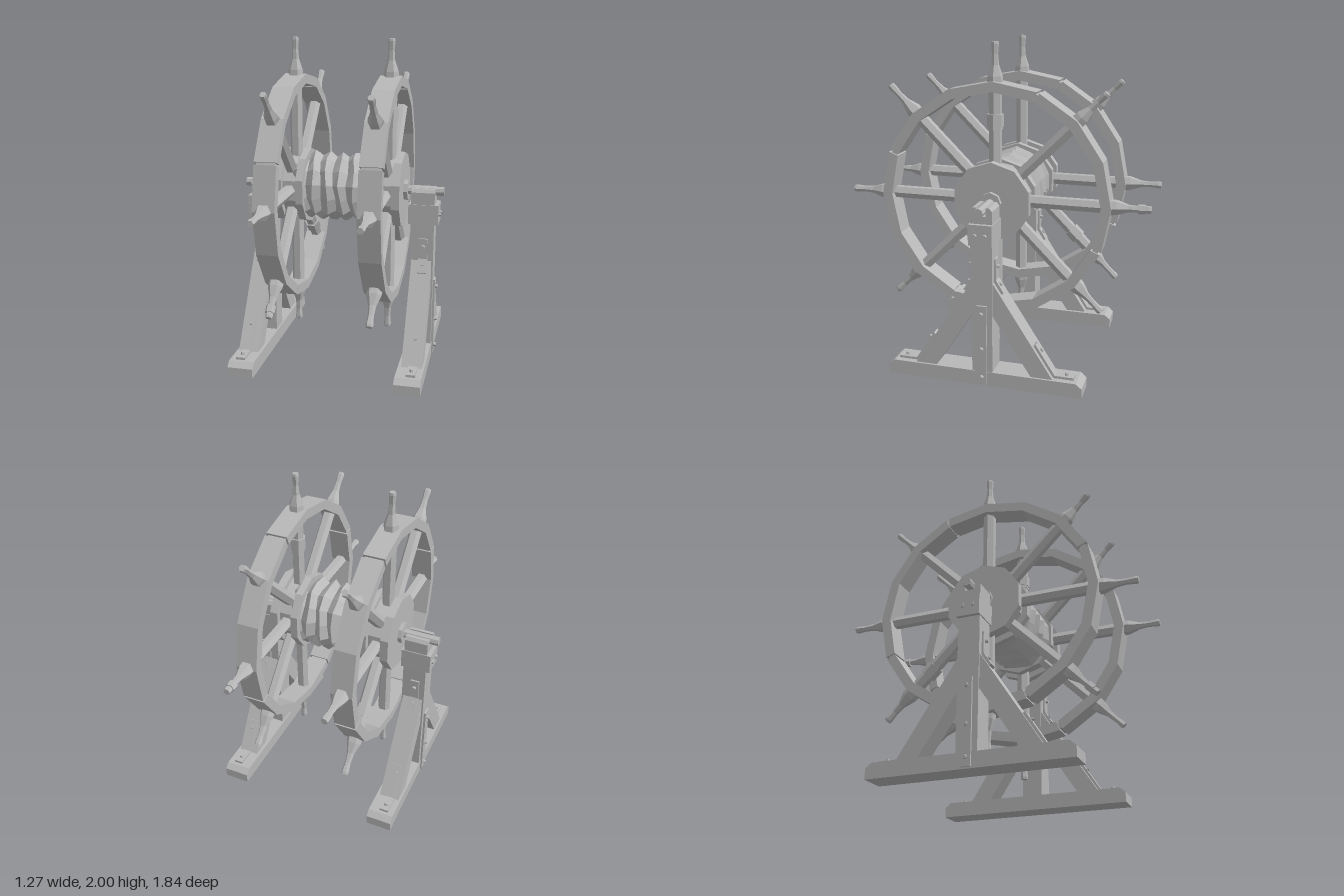
import * as THREE from 'three';

const AXLE_Y = 1.08;
const wood = new THREE.MeshStandardMaterial({ color: 0xb8b8b8, flatShading: true });
wood.name = 'plain grey';

function add(parent, name, geometry, x = 0, y = 0, z = 0) {
  const mesh = new THREE.Mesh(geometry, wood);
  mesh.name = name;
  mesh.position.set(x, y, z);
  parent.add(mesh);
  return mesh;
}

// Side outline given as [z, y] points, extruded from x0 to x1
function prism(points, x0, x1) {
  const shape = new THREE.Shape(points.map(([z, y]) => new THREE.Vector2(z, y)));
  const geometry = new THREE.ExtrudeGeometry(shape, { depth: x1 - x0, bevelEnabled: false });
  return geometry.rotateY(-Math.PI / 2).translate(x1, 0, 0);
}

// Cylinder lying along x, with a corner at the top
function disc(radius, x0, x1, sides) {
  return new THREE.CylinderGeometry(radius, radius, x1 - x0, sides)
    .rotateZ(Math.PI / 2).rotateX(-Math.PI / 2).rotateX(sides % 4 ? Math.PI / 2 : 0)
    .rotateX(sides === 10 ? Math.PI / 2 : 0)
    .translate((x0 + x1) / 2, 0, 0);
}

function bolt(parent, x, y, z, dir) {
  const mesh = add(parent, 'bolt', new THREE.CylinderGeometry(0.011, 0.014, 0.026, 6), x, y, z);
  mesh.quaternion.setFromUnitVectors(new THREE.Vector3(0, 1, 0), dir.clone().normalize());
}

// Flat iron strap between two [z, y] points
function strap(parent, x, [z0, y0], [z1, y1]) {
  const dz = z1 - z0, dy = y1 - y0;
  const mesh = add(parent, 'strap', new THREE.BoxGeometry(0.056, 0.02, Math.hypot(dz, dy)),
    x, (y0 + y1) / 2, (z0 + z1) / 2);
  mesh.rotation.x = -Math.atan2(dy, dz);
}

// Turned grip, hexagonal in section
const handleProfile = [[0, 0.68], [0.049, 0.68], [0.045, 0.725], [0.023, 0.79], [0.018, 0.85],
  [0.023, 0.905], [0.02, 0.92], [0, 0.92]].map(([r, y]) => new THREE.Vector2(r, y));

// collars: list of [spoke index, distance from axle, radius, length]
function makeWheel(name, collars) {
  const wheel = new THREE.Group();
  wheel.name = name;

  // Four rim arcs with narrow joints, tied by thinner tenons
  for (let q = 0; q < 4; q++) {
    const outer = [], inner = [];
    const start = -22.5 + 90 * q;
    for (let j = 0; j <= 4; j++) {
      const gap = j === 0 ? 0.7 : j === 4 ? -0.7 : 0;
      const a = THREE.MathUtils.degToRad(start + 22.5 * j + gap);
      outer.push([Math.sin(a) * 0.7, Math.cos(a) * 0.7]);
      inner.unshift([Math.sin(a) * 0.64, Math.cos(a) * 0.64]);
    }
    add(wheel, 'rimArc', prism([...outer, ...inner], -0.066, 0.066));
    const tenon = add(wheel, 'rimTenon',
      new THREE.BoxGeometry(0.11, 0.036, 0.06).translate(0, 0.667, 0));
    tenon.rotation.x = THREE.MathUtils.degToRad(start);
  }

  // Spokes and grips
  for (let k = 0; k < 8; k++) {
    const arm = new THREE.Group();
    arm.name = 'spokeAndHandle';
    arm.rotation.x = k * Math.PI / 4;
    wheel.add(arm);
    add(arm, 'spoke', new THREE.CylinderGeometry(0.039, 0.039, 0.56, 6)
      .rotateY(Math.PI / 2).translate(0, 0.38, 0));
    add(arm, 'handle', new THREE.LatheGeometry(handleProfile, 6).rotateY(Math.PI / 2));
    for (const [index, at, radius, length] of collars) {
      if (index !== k) continue;
      add(arm, 'collar', new THREE.CylinderGeometry(radius, radius, length, 6)
        .rotateY(Math.PI / 2).translate(0, at, 0));
    }
  }
  return wheel;
}

function makeHub(name) {
  const hub = new THREE.Group();
  hub.name = name;
  add(hub, 'hubInnerDisc', disc(0.238, 0.205, 0.25, 10));
  add(hub, 'hubCore', disc(0.2, 0.24, 0.35, 10));
  add(hub, 'hubOuterDisc', disc(0.238, 0.34, 0.39, 10));
  add(hub, 'hubCollar', disc(0.065, 0.385, 0.415, 8));
  return hub;
}

// Stand on the +x side
function makeStand(name) {
  const stand = new THREE.Group();
  stand.name = name;
  const X = new THREE.Vector3(1, 0, 0);
  add(stand, 'foot', prism([[-0.6, 0], [0.6, 0], [0.6, 0.06], [0.565, 0.09],
    [-0.565, 0.09], [-0.6, 0.06]], 0.43, 0.588));
  add(stand, 'post', prism([[-0.062, 0.05], [0.062, 0.05], [0.066, 1.08], [0.05, 1.1], [0.029, 1.1],
    [0.029, 1.05], [-0.029, 1.05], [-0.029, 1.1], [-0.05, 1.1], [-0.066, 1.08]], 0.44, 0.585));
  add(stand, 'postBand', new THREE.BoxGeometry(0.185, 0.125, 0.142), 0.517, 0.942, 0);
  add(stand, 'sidePlate', new THREE.BoxGeometry(0.02, 0.5, 0.06), 0.588, 0.26, 0);
  for (const y of [0.06, 0.24, 0.46]) bolt(stand, 0.602, y, 0, X);
  for (const z of [-0.03, 0.03]) bolt(stand, 0.61, 0.94, z, X);

  // Diagonal braces with bent straps at both ends
  for (const s of [-1, 1]) {
    add(stand, 'brace', prism([[0.43, 0.08], [0.3, 0.08], [0.04, 0.48], [0.04, 0.685]]
      .map(([z, y]) => [z * s, y]), 0.45, 0.575));
    const x = 0.522;
    strap(stand, x, [0.545 * s, 0.095], [0.425 * s, 0.095]);
    strap(stand, x, [0.43 * s, 0.09], [0.308 * s, 0.28]);
    strap(stand, x, [0.115 * s, 0.58], [0.062 * s, 0.665]);
    strap(stand, x, [0.066 * s, 0.65], [0.066 * s, 0.79]);
    const slope = new THREE.Vector3(0, 0.55, 0.84 * s);
    bolt(stand, x, 0.108, 0.5 * s, new THREE.Vector3(0, 1, 0));
    bolt(stand, x, 0.245, 0.342 * s, slope);
    bolt(stand, x, 0.63, 0.092 * s, slope);
    bolt(stand, x, 0.74, 0.08 * s, new THREE.Vector3(0, 0, s));
  }
  return stand;
}

// Rope wound on the drum: a ridged sleeve sheared into a helix
function makeRope() {
  const pitch = 0.084, rows = 12, sides = 14;
  const geometry = new THREE.CylinderGeometry(1, 1, 1, sides, rows, true);
  const p = geometry.attributes.position;
  for (let i = 0; i < p.count; i++) {
    const row = Math.floor(i / (sides + 1)), col = i % (sides + 1);
    const turn = col / sides, a = turn * Math.PI * 2;
    const u = (row - rows / 2) / 2 + turn - 0.5;
    const r = (row % 2 ? 0.219 : 0.186) + 0.007 * Math.sin(u * 37);
    p.setXYZ(i, (u + 0.09 * Math.sin(u * 23)) * pitch, r * Math.cos(a), r * Math.sin(a));
  }
  return geometry;
}

export function createModel() {
  const model = new THREE.Group();
  model.name = 'doubleWheelWindlass';

  const turning = new THREE.Group();
  turning.name = 'turningParts';
  turning.position.y = AXLE_Y;
  model.add(turning);

  add(turning, 'axle', disc(0.028, -0.635, 0.635, 8));
  add(turning, 'drum', disc(0.18, -0.21, 0.21, 12));
  const rope = add(turning, 'rope', makeRope());
  rope.material = wood.clone();
  rope.material.side = THREE.DoubleSide;

  const left = makeWheel('leftWheel', [[0, 0.47, 0.05, 0.075], [0, 0.425, 0.044, 0.02], [6, 0.865, 0.029, 0.045]]);
  const right = makeWheel('rightWheel', [[5, 0.52, 0.05, 0.075], [3, 0.865, 0.029, 0.045]]);
  left.position.x = 0.295;
  right.position.x = -0.3;
  turning.add(left, right);

  const rightHub = makeHub('rightHub');
  rightHub.rotation.y = Math.PI;
  turning.add(makeHub('leftHub'), rightHub);

  const rightStand = makeStand('rightStand');
  rightStand.rotation.y = Math.PI;
  model.add(makeStand('leftStand'), rightStand);
  return model;
}
